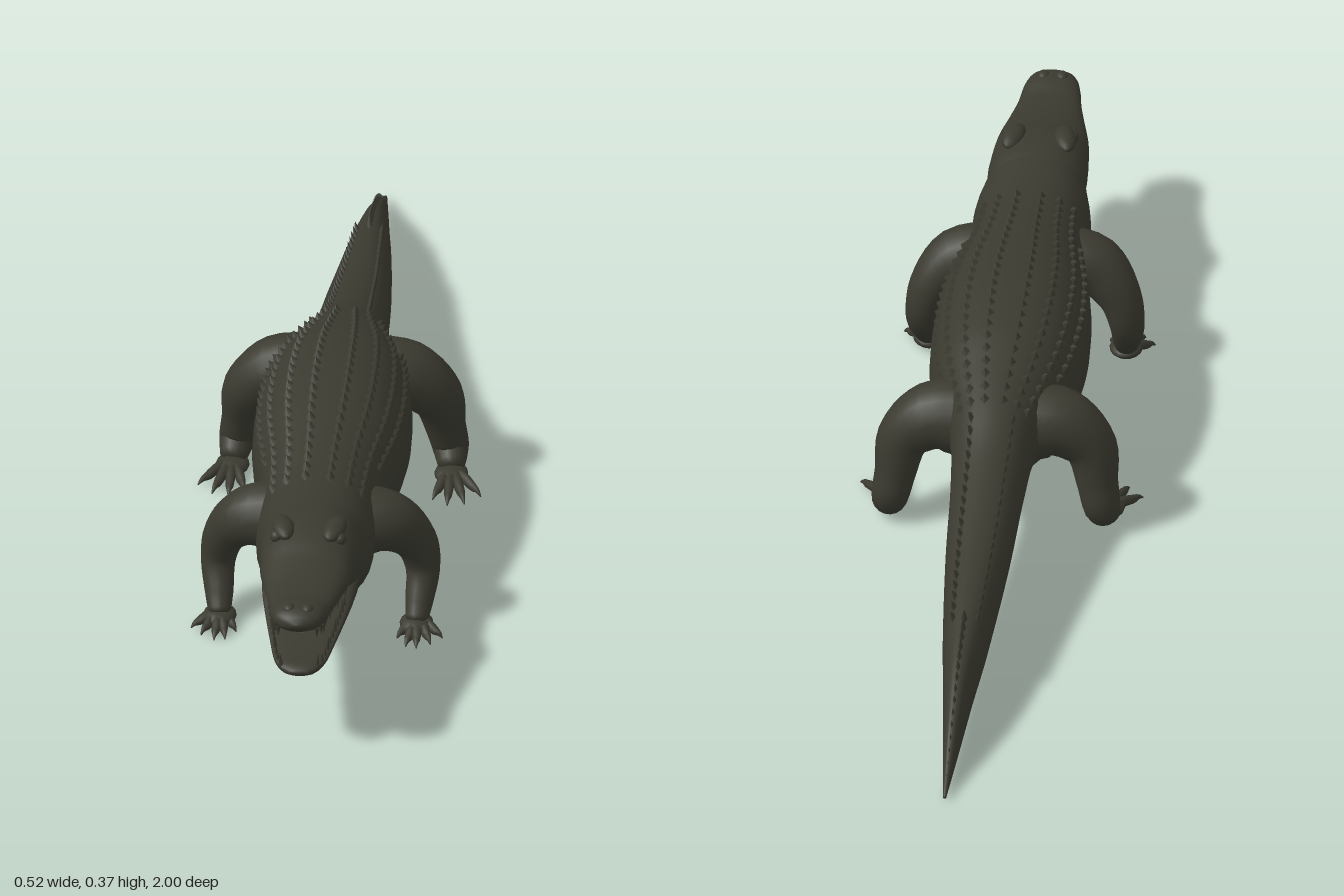
import * as THREE from 'three';
import { mergeGeometries } from 'three/addons/utils/BufferGeometryUtils.js';

const hide = new THREE.MeshStandardMaterial({ color: 0x3a3a30 });
hide.name = 'dark olive hide';

// Cross-sections: [z, bottom y, top y, half width, height fraction of the widest point]
const BODY = [
  [-1, 0.008, 0.014, 0.003, 0.5], [-0.93, 0.011, 0.05, 0.01, 0.45], [-0.85, 0.016, 0.095, 0.018, 0.42],
  [-0.75, 0.028, 0.138, 0.028, 0.4], [-0.62, 0.043, 0.17, 0.042, 0.42], [-0.4, 0.077, 0.212, 0.059, 0.45],
  [-0.22, 0.104, 0.258, 0.068, 0.47], [-0.11, 0.118, 0.3, 0.08, 0.48], [-0.03, 0.095, 0.325, 0.108, 0.5],
  [0.06, 0.077, 0.35, 0.133, 0.48], [0.18, 0.07, 0.363, 0.144, 0.47], [0.3, 0.081, 0.358, 0.138, 0.48],
  [0.42, 0.1, 0.343, 0.116, 0.5], [0.52, 0.104, 0.331, 0.107, 0.5], [0.6, 0.107, 0.332, 0.107, 0.5],
  [0.66, 0.13, 0.337, 0.094, 0.5], [0.71, 0.148, 0.33, 0.084, 0.5], [0.735, 0.17, 0.31, 0.072, 0.5],
];
const UPPER = [
  [0.6, 0.2, 0.325, 0.075, 0.45], [0.66, 0.21, 0.338, 0.09, 0.4], [0.71, 0.222, 0.338, 0.09, 0.35],
  [0.755, 0.24, 0.33, 0.087, 0.3], [0.8, 0.253, 0.315, 0.082, 0.3], [0.86, 0.259, 0.303, 0.069, 0.35],
  [0.91, 0.265, 0.302, 0.058, 0.35], [0.95, 0.265, 0.311, 0.052, 0.4], [0.98, 0.268, 0.309, 0.042, 0.45],
  [0.995, 0.275, 0.3, 0.025, 0.5], [1, 0.283, 0.293, 0.01, 0.5],
];
const LOWER = [
  [0.6, 0.125, 0.24, 0.07, 0.6], [0.67, 0.135, 0.235, 0.088, 0.7], [0.74, 0.147, 0.222, 0.084, 0.75],
  [0.8, 0.153, 0.204, 0.074, 0.8], [0.87, 0.153, 0.19, 0.06, 0.8], [0.92, 0.153, 0.182, 0.049, 0.75],
  [0.95, 0.156, 0.18, 0.036, 0.65], [0.965, 0.163, 0.174, 0.018, 0.5],
];

// Smoothly interpolated cross-section at z
function sectionAt(table, z) {
  const n = table.length;
  let i = 0;
  while (i < n - 2 && z > table[i + 1][0]) i++;
  const slope = (j, c) => {
    const a = table[Math.max(j - 1, 0)], b = table[Math.min(j + 1, n - 1)];
    return (b[c] - a[c]) / (b[0] - a[0]);
  };
  const a = table[i], b = table[i + 1], h = b[0] - a[0], t = (z - a[0]) / h;
  return a.map((v, c) => c === 0 ? z :
    v * (1 + 2 * t) * (1 - t) ** 2 + b[c] * t * t * (3 - 2 * t) +
    h * (slope(i, c) * t * (1 - t) ** 2 - slope(i + 1, c) * t * t * (1 - t)));
}

function surfacePoint(table, z, angle) {
  const [, yb, yt, w, k] = sectionAt(table, z);
  const mid = yb + (yt - yb) * k, c = Math.cos(angle), s = Math.sin(angle);
  return new THREE.Vector3(
    w * Math.sign(c) * Math.abs(c) ** 0.88,
    mid + (s > 0 ? yt - mid : mid - yb) * Math.sign(s) * Math.abs(s) ** 0.88, z);
}

// Closed skin over a list of equal rings
function skin(rings) {
  const centre = r => r.reduce((s, p) => s.add(p), new THREE.Vector3()).divideScalar(r.length);
  const m = rings[0].length;
  const all = [rings[0].map(() => centre(rings[0])), ...rings, rings[0].map(() => centre(rings.at(-1)))];
  const index = [];
  for (let i = 0; i < all.length - 1; i++) {
    for (let j = 0; j < m; j++) {
      const a = i * m + j, b = i * m + (j + 1) % m;
      index.push(a, b, a + m, b, b + m, a + m);
    }
  }
  const g = new THREE.BufferGeometry().setFromPoints(all.flat());
  g.setIndex(index);
  g.computeVertexNormals();
  return g;
}

function loft(table, steps, sides) {
  const z0 = table[0][0], z1 = table.at(-1)[0];
  return skin(Array.from({ length: steps + 1 }, (_, i) => Array.from({ length: sides }, (_, j) =>
    surfacePoint(table, z0 + (z1 - z0) * i / steps, j / sides * Math.PI * 2))));
}

// Tapering limb through [x, y, z, radius] points
function limb(points, steps = 18, sides = 14) {
  const path = new THREE.CatmullRomCurve3(points.map(p => new THREE.Vector3(p[0], p[1], p[2])));
  const radii = new THREE.CatmullRomCurve3(points.map(p => new THREE.Vector3(p[3], 0, 0)));
  const rings = [];
  const side = new THREE.Vector3(1, 0.2, 0.35).normalize();
  for (let i = 0; i <= steps; i++) {
    const t = i / steps, c = path.getPoint(t), r = radii.getPoint(t).x, tan = path.getTangent(t);
    side.addScaledVector(tan, -side.dot(tan)).normalize();
    const up = tan.clone().cross(side);
    rings.push(Array.from({ length: sides }, (_, j) => {
      const a = j / sides * Math.PI * 2;
      return c.clone().addScaledVector(side, r * Math.cos(a)).addScaledVector(up, r * Math.sin(a));
    }));
  }
  return skin(rings);
}

// Small pointed piece: base at p, aimed along dir
function spike(p, dir, radius, height, thin = 1, sides = 5) {
  const g = new THREE.ConeGeometry(radius, height, sides).translate(0, height / 2, 0).scale(thin, 1, 1);
  g.applyQuaternion(new THREE.Quaternion().setFromUnitVectors(new THREE.Vector3(0, 1, 0), dir.clone().normalize()));
  return g.translate(p.x, p.y, p.z);
}

export function createModel() {
  const model = new THREE.Group();
  model.name = 'crocodile';
  const add = (name, geometry, parent = model) => {
    const mesh = new THREE.Mesh(geometry, hide);
    mesh.name = name;
    parent.add(mesh);
    return mesh;
  };
  const V = (x, y, z) => new THREE.Vector3(x, y, z);

  add('bodyAndTail', loft(BODY, 110, 32));
  add('upperJaw', loft(UPPER, 44, 28));
  add('lowerJaw', loft(LOWER, 36, 28));
  add('tongue', new THREE.SphereGeometry(1, 16, 10).scale(0.045, 0.012, 0.09).rotateX(0.22).translate(0, 0.2, 0.79));

  // Eyes, brows, nostrils
  for (const s of [-1, 1]) {
    const side = s > 0 ? 'left' : 'right';
    add(side + 'Brow', new THREE.SphereGeometry(1, 14, 10).scale(0.02, 0.015, 0.04).rotateY(-s * 0.2).translate(s * 0.047, 0.331, 0.72));
    add(side + 'Eye', new THREE.SphereGeometry(0.012, 12, 8).translate(s * 0.058, 0.323, 0.74));
    add(side + 'Nostril', new THREE.SphereGeometry(1, 10, 8).scale(0.011, 0.007, 0.013).translate(s * 0.017, 0.308, 0.965));
  }

  // Teeth along both jaws
  const teeth = [];
  for (const s of [-1, 1]) {
    for (let i = 0; i < 13; i++) {
      const z = 0.775 + i * 0.0172, long = i % 3 === 1 ? 0.024 : 0.015;
      const u = sectionAt(UPPER, z);
      teeth.push(spike(V(s * u[3] * 0.86, u[1] + 0.009, z), V(0, -1, 0), 0.005, long + 0.006));
      if (z < 0.95) {
        const l = sectionAt(LOWER, z);
        teeth.push(spike(V(s * l[3] * 0.86, l[2] - 0.007, z), V(s * 0.1, 1, 0), 0.005, long + 0.004));
      }
    }
  }
  add('teeth', mergeGeometries(teeth));

  // Armour ridges on the back and the paired rows along the tail
  const scutes = [];
  for (let i = 0; i < 23; i++) {
    const z = 0.53 - i * 0.029;
    for (const s of [-1, 1]) {
      for (const off of [0.17, 0.5, 0.82, 1.08]) {
        if (off > 0.9 && (z > 0.42 || z < -0.02)) continue;
        const p = surfacePoint(BODY, z, Math.PI / 2 - s * off);
        const out = V(s * Math.sin(off) * 0.8, Math.cos(off) + 0.2, -0.35).normalize();
        scutes.push(spike(p.addScaledVector(out, -0.005), out, 0.017, 0.017, 0.7, 4));
      }
    }
  }
  for (let z = -0.14; z > -0.64; z -= 0.027) {
    for (const s of [-1, 1]) {
      const p = surfacePoint(BODY, z, Math.PI / 2 - s * 0.45);
      scutes.push(spike(p.add(V(0, -0.008, 0)), V(s * 0.3, 1, -0.4), 0.017, 0.025, 0.4, 4));
    }
  }
  add('backScutes', mergeGeometries(scutes));

  // Single crest at the tail end
  const crest = [];
  for (let i = 0; i < 15; i++) {
    const z = -0.635 - i * 0.023, size = 1 - i * 0.045;
    const p = surfacePoint(BODY, z, Math.PI / 2);
    crest.push(spike(p.add(V(0, -0.012, 0)), V(0, 1, -0.45), 0.022 * size, 0.042 * size, 0.35, 4));
  }
  add('tailCrest', mergeGeometries(crest));

  // Legs, mirrored; toes given as [tip x, tip z]
  const legs = [
    {
      name: 'FrontLeg', ankle: [0.18, 0.506],
      path: [[0.06, 0.215, 0.49, 0.07], [0.125, 0.213, 0.485, 0.057], [0.172, 0.165, 0.465, 0.041],
        [0.187, 0.105, 0.46, 0.032], [0.183, 0.052, 0.492, 0.026], [0.18, 0.022, 0.52, 0.02]],
      toes: [[0.147, 0.555], [0.165, 0.583], [0.185, 0.588], [0.21, 0.572], [0.23, 0.548]],
    },
    {
      name: 'BackLeg', ankle: [0.2, -0.03],
      path: [[0.055, 0.21, -0.035, 0.075], [0.12, 0.21, -0.04, 0.064], [0.17, 0.168, -0.045, 0.05],
        [0.185, 0.1, -0.06, 0.038], [0.195, 0.048, -0.065, 0.034], [0.2, 0.024, -0.025, 0.023]],
      toes: [[0.172, 0.058], [0.2, 0.078], [0.231, 0.07], [0.259, 0.04]],
    },
  ];
  for (const { name, ankle: [ax, az], path, toes } of legs) {
    for (const s of [1, -1]) {
      const leg = new THREE.Group();
      leg.name = (s > 0 ? 'left' : 'right') + name;
      model.add(leg);
      const mirror = pts => pts.map(([x, y, z, r]) => [s * x, y, z, r]);
      add('limb', limb(mirror(path), 24, 18), leg);
      add('palm', new THREE.SphereGeometry(1, 16, 10).scale(0.031, 0.015, 0.036).translate(s * ax, 0.019, az + 0.012), leg);
      for (const [tx, tz] of toes) {
        const at = (t, y, r) => [ax + (tx - ax) * t, y, az + (tz - az) * t, r];
        add('toe', limb(mirror([at(0.1, 0.022, 0.011), at(0.45, 0.02, 0.01), at(0.72, 0.014, 0.008),
          at(0.86, 0.013, 0.005), at(1, 0.006, 0.001)]), 10, 8), leg);
      }
    }
  }
  return model;
}
